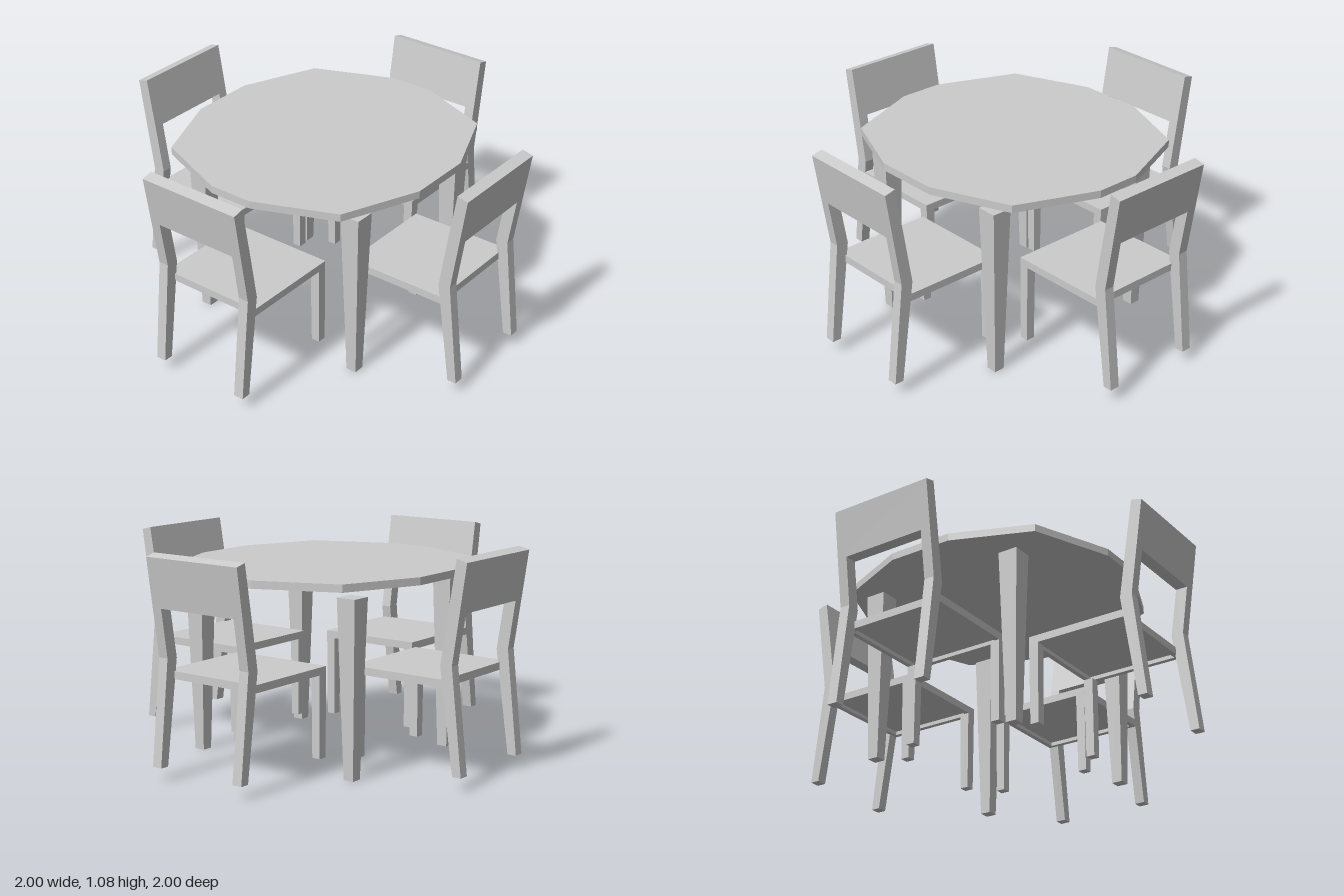
import * as THREE from 'three';

const material = new THREE.MeshStandardMaterial({ color: 0xcccccc, flatShading: true });

function addMesh(parent, name, geometry, x = 0, y = 0, z = 0) {
  const mesh = new THREE.Mesh(geometry, material);
  mesh.name = name;
  mesh.position.set(x, y, z);
  parent.add(mesh);
  return mesh;
}

const shapeOf = (points) => new THREE.Shape(points.map(([x, y]) => new THREE.Vector2(x, y)));
const extrude = (shape, depth) => new THREE.ExtrudeGeometry(shape, { depth, bevelEnabled: false });

// Square leg standing on its origin, wider at the top
function taperedLeg(bottom, top, height) {
  const geometry = new THREE.BoxGeometry(1, height, 1).translate(0, height / 2, 0);
  const pos = geometry.attributes.position;
  for (let i = 0; i < pos.count; i++) {
    const w = pos.getY(i) > height / 2 ? top : bottom;
    pos.setX(i, pos.getX(i) * w);
    pos.setZ(i, pos.getZ(i) * w);
  }
  geometry.computeVertexNormals();
  return geometry;
}

// Chair with its back towards +x
function createChair(name) {
  const chair = new THREE.Group();
  chair.name = name;
  const half = 0.273, post = 0.053;
  const inner = 0.355, outer = 0.88, rim = 0.025;

  // Seat: a rim with a panel set into it, recessed underneath
  const frame = shapeOf([[inner, -half], [outer, -half], [outer, half], [inner, half]]);
  frame.holes.push(shapeOf([
    [inner + rim, -half + rim], [inner + rim, half - rim],
    [outer - rim, half - rim], [outer - rim, -half + rim],
  ]));
  addMesh(chair, 'seatFrame', extrude(frame, 0.038).rotateX(-Math.PI / 2), 0, 0.479, 0);
  addMesh(chair, 'seatPanel',
    new THREE.BoxGeometry(outer - inner - 2 * rim, 0.018, 2 * (half - rim)),
    (inner + outer) / 2, 0.508, 0);

  // Bent back posts and straight front legs
  const postShape = shapeOf([
    [0.935, 0.067], [0.982, 0.067], [0.924, 0.585], [0.96, 0.825], [0.899, 0.825], [0.861, 0.58],
  ]);
  for (const side of [-1, 1]) {
    addMesh(chair, 'backPost', extrude(postShape, post), 0, 0, side > 0 ? half - post : -half);
    addMesh(chair, 'frontLeg', taperedLeg(0.045, 0.05, 0.412), inner + 0.025, 0.067, side * (half - 0.025));
  }

  // Backrest leaning outwards
  const backShape = shapeOf([[0.899, 0.825], [0.96, 0.825], [0.996, 1.066], [0.941, 1.08]]);
  addMesh(chair, 'backrest', extrude(backShape, 2 * half), 0, 0, -half);
  return chair;
}

function createTable() {
  const table = new THREE.Group();
  table.name = 'table';

  // Twelve-sided top with alternating short and long sides
  const quarter = [[0.72, 0.115], [0.558, 0.515], [0.168, 0.675]];
  const flipped = [...quarter].reverse();
  const outline = [
    ...quarter,
    ...flipped.map(([x, z]) => [-x, z]),
    ...quarter.map(([x, z]) => [-x, -z]),
    ...flipped.map(([x, z]) => [x, -z]),
  ];
  addMesh(table, 'tableTop', extrude(shapeOf(outline), 0.038).rotateX(-Math.PI / 2), 0, 0.921, -0.003);

  // Tapered legs at the four corners
  for (const x of [-0.397, 0.403])
    for (const z of [-0.46, 0.479])
      addMesh(table, 'tableLeg', taperedLeg(0.055, 0.103, 0.874), x, 0, z);
  return table;
}

export function createModel() {
  const model = new THREE.Group();
  model.name = 'diningSet';
  model.add(createTable());

  // One chair on each side of the table
  const places = [
    ['leftChair', 0, 0, 0.002],
    ['backChair', Math.PI / 2, -0.003, 0],
    ['rightChair', Math.PI, -0.005, -0.003],
    ['frontChair', -Math.PI / 2, -0.003, 0.005],
  ];
  for (const [name, turn, x, z] of places) {
    const chair = createChair(name);
    chair.rotation.y = turn;
    chair.position.set(x, 0, z);
    model.add(chair);
  }
  return model;
}
